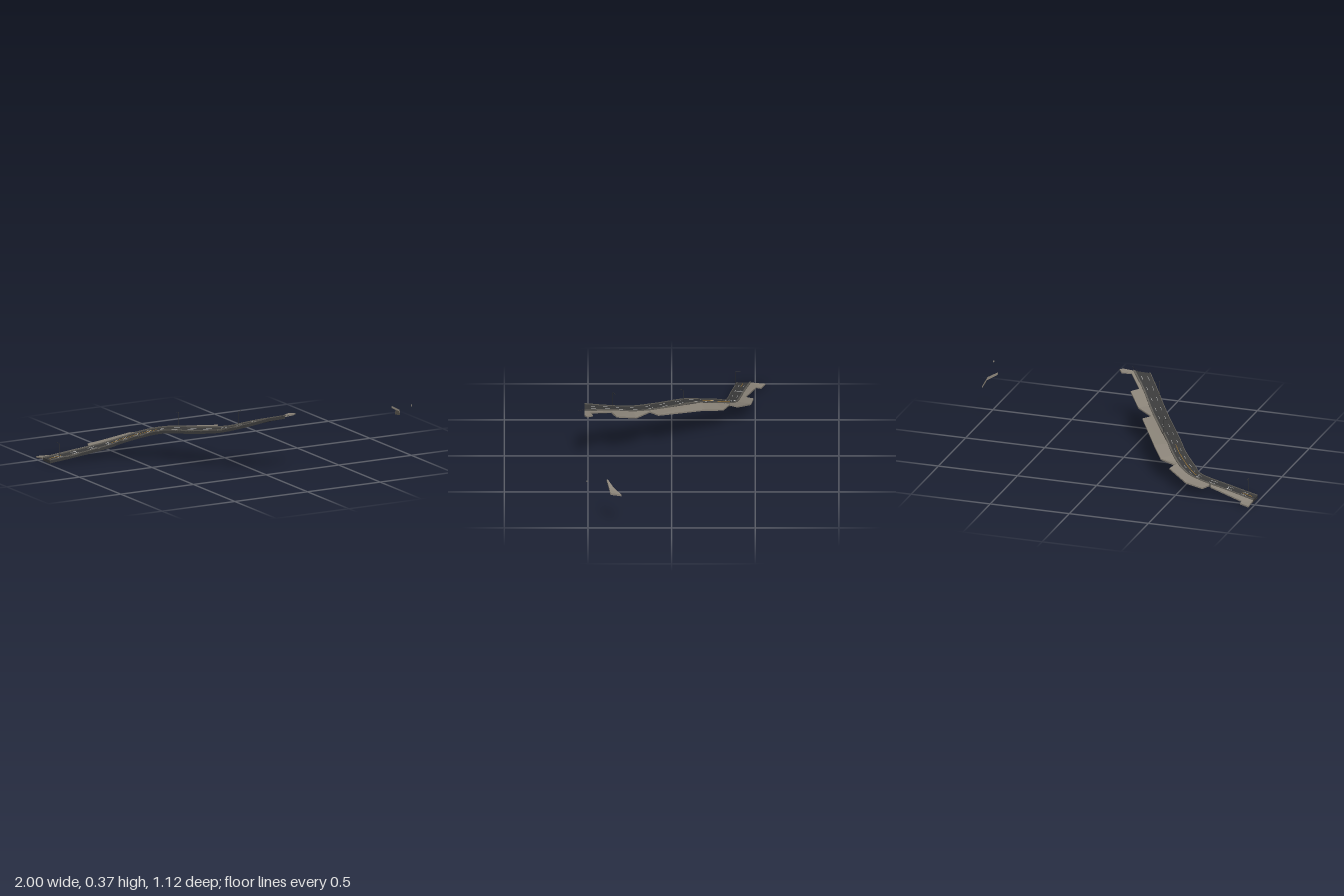
import * as THREE from 'three';

const V = (x, y, z) => new THREE.Vector3(x, y, z);
const mat = (color) => new THREE.MeshStandardMaterial({ color, flatShading: true, side: THREE.DoubleSide });
const asphalt = mat(0x3a3a3a), concrete = mat(0x8a8378), kerbGrey = mat(0x5f5c56);
const white = mat(0xd8d8d8), orange = mat(0xc08a30), metal = mat(0x333333);

// Both edges of the carriageway, station by station
const edge = (pts) => new THREE.CatmullRomCurve3(pts.map((p) => V(...p)), false, 'catmullrom', 0.5);
const leftEdge = edge([
  [-0.98, 0.022, -0.39], [-0.8, 0.05, -0.357], [-0.61, 0.085, -0.325], [-0.55, 0.115, -0.28], [-0.46, 0.16, -0.19],
  [-0.38, 0.2, -0.075], [-0.28, 0.22, 0.085], [-0.18, 0.247, 0.245], [-0.08, 0.3, 0.395], [0.01, 0.354, 0.52]]);
const rightEdge = edge([
  [-0.98, 0.022, -0.475], [-0.8, 0.05, -0.437], [-0.595, 0.085, -0.4], [-0.495, 0.115, -0.36], [-0.4, 0.165, -0.265],
  [-0.31, 0.205, -0.13], [-0.2, 0.225, 0.04], [-0.1, 0.25, 0.2], [0, 0.305, 0.355], [0.12, 0.356, 0.52]]);
const LAST = 9;

// Point on the road: station s (0..9), u across (0 left, 1 right), h above the surface
function at(s, u, h = 0) {
  const p = leftEdge.getPoint(s / LAST).lerp(rightEdge.getPoint(s / LAST), u);
  p.y += h;
  return p;
}

// Solid through a row of equal-sided rings, with end caps
function loft(rings) {
  const out = [];
  const tri = (...ps) => ps.forEach((p) => out.push(p.x, p.y, p.z));
  const n = rings[0].length;
  for (let i = 0; i < rings.length - 1; i++) {
    for (let k = 0; k < n; k++) {
      const a = rings[i][k], b = rings[i][(k + 1) % n];
      const c = rings[i + 1][(k + 1) % n], d = rings[i + 1][k];
      tri(a, d, c);
      tri(a, c, b);
    }
  }
  const first = rings[0], last = rings[rings.length - 1];
  for (let k = 1; k < n - 1; k++) {
    tri(first[0], first[k], first[k + 1]);
    tri(last[0], last[k + 1], last[k]);
  }
  const g = new THREE.BufferGeometry();
  g.setAttribute('position', new THREE.Float32BufferAttribute(out, 3));
  g.computeVertexNormals();
  return g;
}

// Strip following the road between two stations and two offsets
function strip(s0, s1, u0, u1, top, bottom, steps) {
  const rings = [];
  for (let i = 0; i <= steps; i++) {
    const s = s0 + ((s1 - s0) * i) / steps;
    rings.push([at(s, u0, top), at(s, u1, top), at(s, u1, bottom), at(s, u0, bottom)]);
  }
  return loft(rings);
}

// Flat slab between two rows of points
function slab(inner, outer, thick) {
  const down = (p) => V(p.x, p.y - thick, p.z);
  return loft(inner.map((p, i) => [p, outer[i], down(outer[i]), down(p)]));
}

export function createModel() {
  const model = new THREE.Group();
  const add = (name, geometry, material, parent = model) => {
    const m = new THREE.Mesh(geometry, material);
    m.name = name;
    parent.add(m);
    return m;
  };

  // Road deck with a kerb on the left and a narrow pavement on the right
  add('roadDeck', strip(0, LAST, 0, 1, 0, -0.018, 54), asphalt);
  add('leftKerb', strip(0, LAST, 0, 0.05, 0.005, -0.004, 54), kerbGrey);
  add('rightPavement', strip(0, LAST, 0.88, 1, 0.006, -0.004, 54), kerbGrey);

  // Concrete aprons beside the road: outer x, y, z and the road station each joins
  const aprons = [
    [[-0.98, 0.014, -0.56, 0], [-0.92, 0.018, -0.535, 0.33], [-0.925, 0.022, -0.508, 0.34], [-0.7, 0.065, -0.445, 1.5]],
    [[-0.69, 0.068, -0.43, 1.53], [-0.665, 0.068, -0.49, 1.7], [-0.555, 0.085, -0.475, 2.2],
      [-0.425, 0.13, -0.395, 3.3], [-0.44, 0.135, -0.35, 3.5]],
    [[-0.44, 0.14, -0.35, 3.5], [-0.34, 0.15, -0.31, 4], [-0.26, 0.188, -0.2, 4.7],
      [-0.09, 0.235, 0.08, 6.4], [-0.13, 0.237, 0.13, 6.55]],
    [[-0.13, 0.237, 0.13, 6.55], [-0.02, 0.25, 0.21, 7.2], [0.07, 0.3, 0.33, 8], [0.025, 0.31, 0.36, 8.1]],
    [[0.025, 0.31, 0.36, 8.1], [0.122, 0.352, 0.495, 8.85], [0.175, 0.358, 0.47, 8.9],
      [0.2, 0.362, 0.505, 8.97], [0.18, 0.362, 0.52, 9]],
  ];
  for (const pts of aprons) {
    const inner = pts.map((p) => at(p[3], 0.97, 0.001));
    add('apron', slab(inner, pts.map((p) => V(p[0], p[1], p[2])), 0.009), concrete);
  }

  // Lane dashes, with an orange centre line at the start and round the bend
  for (let s = 0.3; s < 8.8; s += 0.55) {
    for (const u of [0.27, 0.66]) {
      add('laneDash', strip(s, s + 0.2, u, u + 0.02, 0.0015, 0, 2), white);
    }
  }
  for (const [s0, s1] of [[0.1, 0.5], [2.2, 4.6]]) {
    add('centreLine', strip(s0, s1, 0.46, 0.485, 0.0015, 0, 12), orange);
  }
  for (const s of [1, 2.05]) add('crossMark', strip(s, s + 0.015, 0.4, 0.85, 0.002, 0, 1), white);

  // Thin line ends running past the road
  const rod = (a, b, r, name, parent) =>
    add(name, new THREE.TubeGeometry(new THREE.LineCurve3(a, b), 1, r, 5), metal, parent);
  rod(V(-1, 0.02, -0.44), at(0.1, 0.5, 0.001), 0.0008, 'lineEnd', model);
  rod(at(8.95, 0.7, 0.001), V(0.135, 0.367, 0.555), 0.0008, 'lineEnd', model);

  // Street lamps: station, side, arm reaching over the road
  for (const [s, side] of [[0.33, 0], [5.35, 1], [7.7, 0]]) {
    const lamp = new THREE.Group();
    lamp.name = 'streetLamp';
    const base = at(s, side ? 0.98 : 0.02);
    const top = base.clone().setY(base.y + 0.09);
    const reach = at(s, 1 - side).sub(at(s, side)).setY(0).setLength(0.026);
    const tip = top.clone().add(reach);
    rod(base, top, 0.0015, 'lampPost', lamp);
    rod(top, tip, 0.0012, 'lampArm', lamp);
    const head = add('lampHead', new THREE.BoxGeometry(0.004, 0.002, 0.01), metal, lamp);
    head.position.copy(tip);
    head.rotation.y = Math.atan2(reach.x, reach.z);
    model.add(lamp);
  }

  // Detached slab fragments far to the left
  add('farSlab', slab(
    [V(0.93, 0.292, 0.388), V(0.99, 0.26, 0.372), V(1, 0.235, 0.365)],
    [V(0.93, 0.29, 0.38), V(0.985, 0.262, 0.345), V(1, 0.225, 0.3)], 0.012), concrete);
  const chip = add('farChip', new THREE.BoxGeometry(0.006, 0.01, 0.006), concrete);
  chip.position.set(0.997, 0.312, 0.506);

  return model;
}
